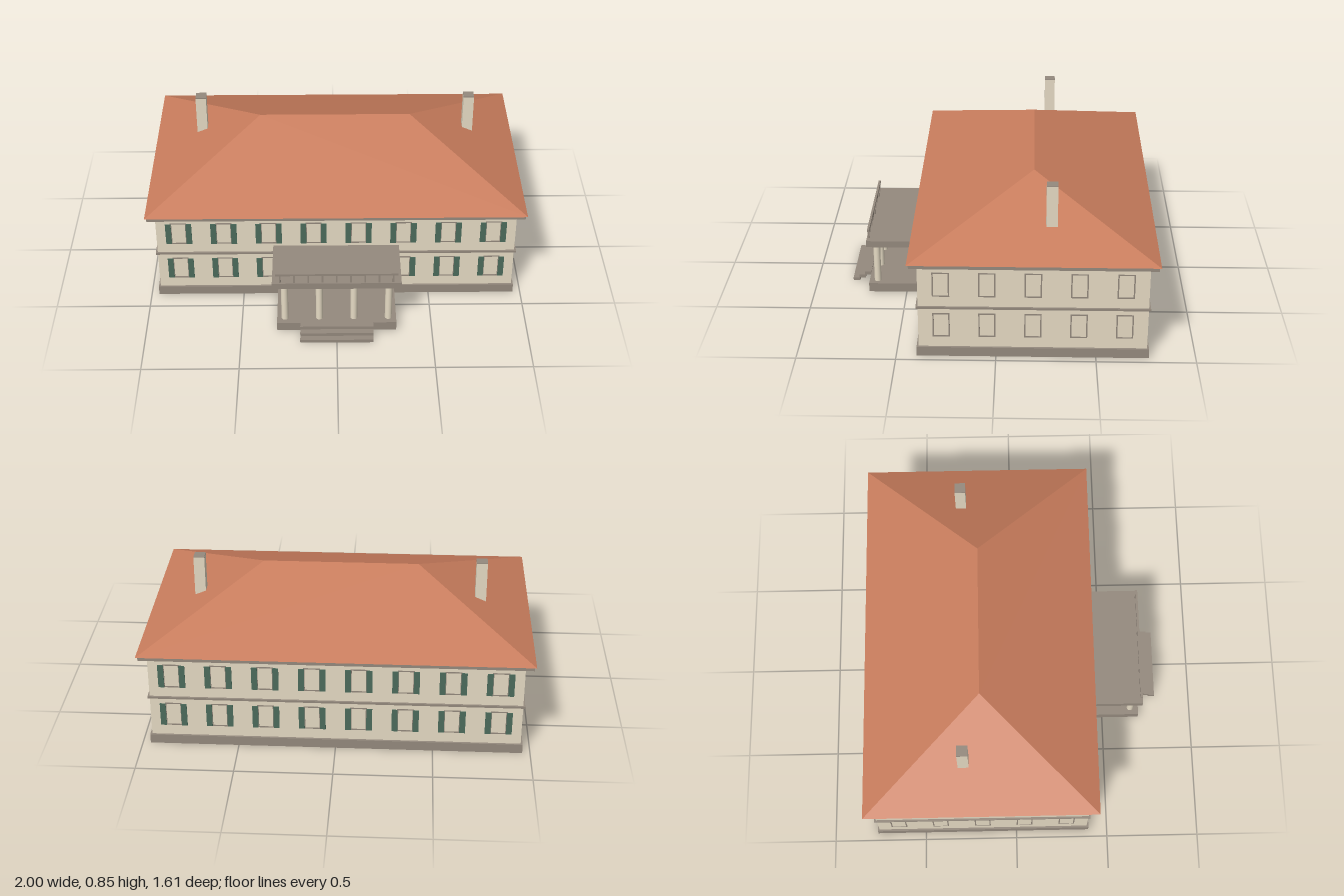
import * as THREE from 'three';
import { ConvexGeometry } from 'three/addons/geometries/ConvexGeometry.js';

const paint = (name, color, side = THREE.FrontSide) => {
  const m = new THREE.MeshStandardMaterial({ color, side });
  m.name = name;
  return m;
};

// box without its underside
const openBox = (w, h, d) => {
  const g = new THREE.BoxGeometry(w, h, d);
  const index = Array.from(g.index.array);
  index.splice(18, 6);
  g.setIndex(index);
  g.clearGroups();
  return g;
};

export function createModel() {
  const wall = paint('cream plaster', 0xe6dbc4);
  const stone = paint('grey stone', 0x958a7e, THREE.DoubleSide);
  const tile = paint('terracotta tile', 0xc87c5c);
  const green = paint('shutter green', 0x4c6c5c);

  const house = new THREE.Group();
  house.name = 'house';

  const add = (parent, name, geometry, material, x = 0, y = 0, z = 0) => {
    const mesh = new THREE.Mesh(geometry, material);
    mesh.name = name;
    mesh.position.set(x, y, z);
    parent.add(mesh);
    return mesh;
  };
  // box given by its width, bottom, top, back and front
  const slab = (parent, name, material, w, y0, y1, z0, z1, x = 0) =>
    add(parent, name, new THREE.BoxGeometry(w, y1 - y0, z1 - z0), material,
      x, (y0 + y1) / 2, (z0 + z1) / 2);
  // the same, hollow from below
  const shell = (parent, name, material, w, y0, y1, z0, z1) =>
    add(parent, name, openBox(w, y1 - y0, z1 - z0), material,
      0, (y0 + y1) / 2, (z0 + z1) / 2);

  // main block, centred behind the portico
  const main = new THREE.Group();
  main.name = 'mainBlock';
  main.position.z = -0.184;
  house.add(main);
  const W = 0.95, D = 0.571;
  shell(main, 'plinth', stone, 1.92, 0, 0.05, -0.581, 0.581);
  slab(main, 'walls', wall, W * 2, 0.051, 0.51, -D, D);
  slab(main, 'floorBand', stone, 1.92, 0.269, 0.28, -0.581, 0.581);
  slab(main, 'cornice', stone, 1.98, 0.508, 0.53, -0.609, 0.609);

  // hipped roof
  const corners = [];
  for (const sx of [-1, 1]) {
    for (const sz of [-1, 1]) corners.push(new THREE.Vector3(sx, 0.53, sz * 0.619));
    corners.push(new THREE.Vector3(sx * 0.408, 0.78, 0));
  }
  add(main, 'roof', new ConvexGeometry(corners), tile);

  // chimneys
  for (const sx of [-1, 1]) {
    slab(main, 'chimney', wall, 0.057, 0.63, 0.847, -0.118, -0.061, sx * 0.734);
    slab(main, 'chimneyTop', stone, 0.057, 0.847, 0.851, -0.118, -0.061, sx * 0.734);
  }

  // window surround: a thin rectangular ring
  const ww = 0.086, wh = 0.134, rim = 0.007;
  const rect = (Type, w, h) => {
    const p = new Type();
    p.moveTo(-w / 2, -h / 2);
    p.lineTo(w / 2, -h / 2);
    p.lineTo(w / 2, h / 2);
    p.lineTo(-w / 2, h / 2);
    p.closePath();
    return p;
  };
  const ring = rect(THREE.Shape, ww, wh);
  ring.holes.push(rect(THREE.Path, ww - 2 * rim, wh - 2 * rim));
  const ringGeo = new THREE.ExtrudeGeometry(ring, { depth: 0.001, bevelEnabled: false });
  const shutterGeo = new THREE.BoxGeometry(0.03, 0.128, 0.005);

  // two rows of windows on each facade
  const facade = (name, turn, distance, count, spacing, shutters) => {
    const side = new THREE.Group();
    side.name = name;
    side.rotation.y = turn;
    main.add(side);
    for (const y of [0.174, 0.401]) {
      for (let i = 0; i < count; i++) {
        const x = (i - (count - 1) / 2) * spacing;
        add(side, 'windowFrame', ringGeo, stone, x, y, distance);
        if (!shutters) continue;
        for (const s of [-1, 1])
          add(side, 'shutter', shutterGeo, green, x + s * 0.054, y - 0.002, distance + 0.002);
      }
    }
  };
  facade('frontWindows', 0, D, 8, 0.2375, true);
  facade('backWindows', Math.PI, D, 8, 0.2375, true);
  facade('leftWindows', Math.PI / 2, W, 5, 0.228, false);
  facade('rightWindows', -Math.PI / 2, W, 5, 0.228, false);

  // portico
  const portico = new THREE.Group();
  portico.name = 'portico';
  portico.position.z = 0.004;
  house.add(portico);
  shell(portico, 'porchFloor', stone, 0.626, 0, 0.05, 0.394, 0.70);
  slab(portico, 'porchRoof', stone, 0.668, 0.281, 0.317, 0.38, 0.704);
  const columnGeo = new THREE.CylinderGeometry(0.0185, 0.0185, 0.231, 20);
  for (let i = 0; i < 4; i++)
    add(portico, 'column', columnGeo, wall, (i - 1.5) * 0.181, 0.1655, 0.655);

  // balcony railing
  slab(portico, 'handrail', stone, 0.63, 0.362, 0.374, 0.687, 0.699);
  for (let i = 0; i < 9; i++)
    slab(portico, 'railPost', stone, 0.009, 0.317, 0.363, 0.6885, 0.6975, (i - 4) * 0.073);

  // entrance steps
  for (let i = 0; i < 3; i++) {
    const front = 0.80 - i * 0.032;
    shell(portico, 'step', stone, 0.382, i * 0.018, (i + 1) * 0.018, front - 0.036, front);
  }
  return house;
}
